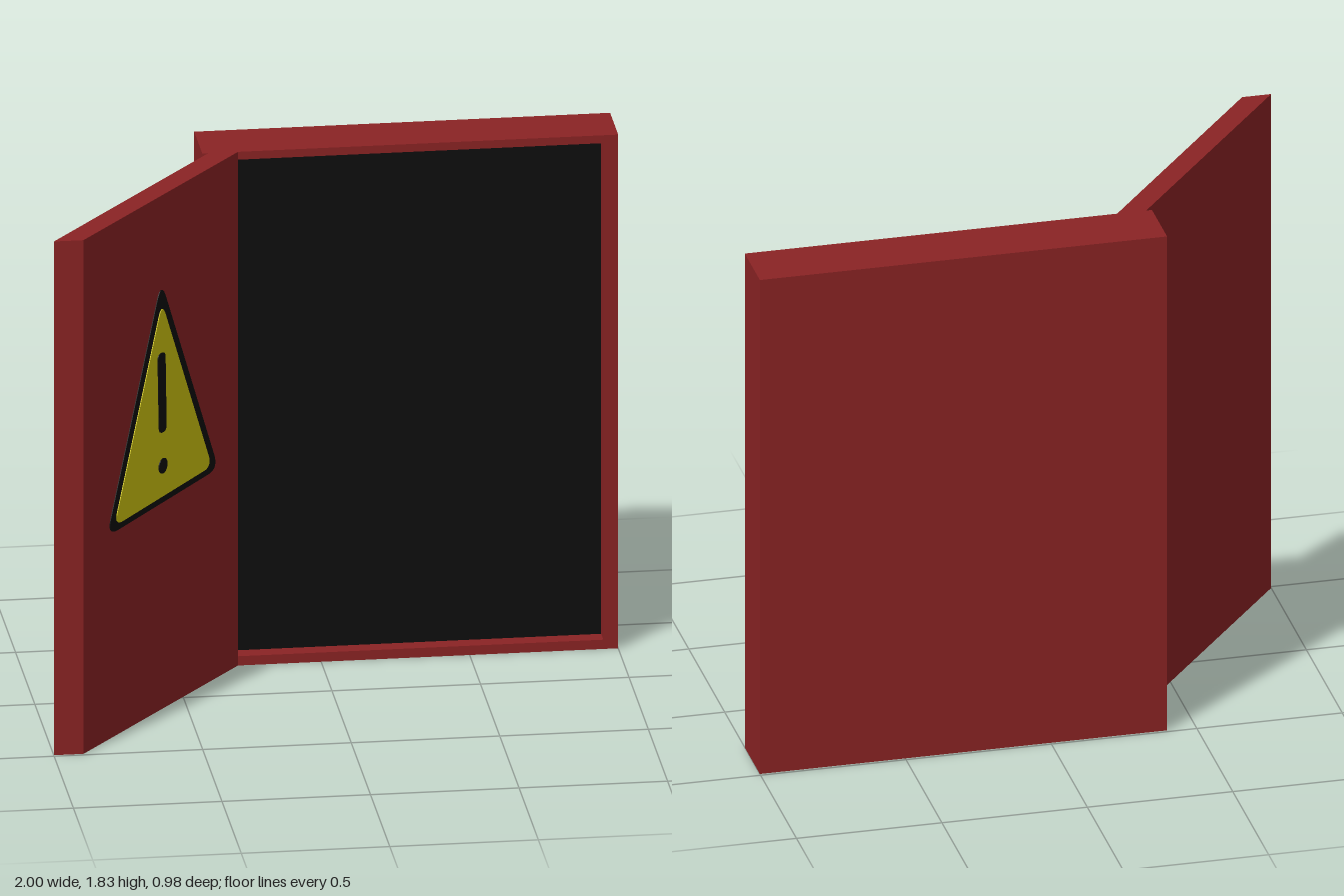
import * as THREE from 'three';

const H = 1.83;

function material(name, color) {
  const m = new THREE.MeshStandardMaterial({ color });
  m.name = name;
  return m;
}

function polygon(points) {
  return new THREE.Shape(points.map(([x, y]) => new THREE.Vector2(x, y)));
}

// Polygon whose corners are softened over the given length
function roundedPolygon(points, cut) {
  const p = points.map(([x, y]) => new THREE.Vector2(x, y));
  const toward = (a, b) => a.clone().add(b.clone().sub(a).setLength(cut));
  const s = new THREE.Shape();
  p.forEach((c, i) => {
    const a = toward(c, p[(i + p.length - 1) % p.length]);
    const b = toward(c, p[(i + 1) % p.length]);
    if (i === 0) s.moveTo(a.x, a.y);
    else s.lineTo(a.x, a.y);
    s.quadraticCurveTo(c.x, c.y, b.x, b.y);
  });
  s.closePath();
  return s;
}

function extrude(shape, depth) {
  return new THREE.ExtrudeGeometry(shape, { depth, bevelEnabled: false, curveSegments: 10 });
}

export function createModel() {
  const red = material('dark red', 0x8b2324);
  const black = material('black', 0x0d0d0d);
  const yellow = material('warning yellow', 0xd2c80f);

  const model = new THREE.Group();
  model.name = 'openCabinet';
  const add = (parent, name, geometry, mat, x = 0, y = 0, z = 0) => {
    const mesh = new THREE.Mesh(geometry, mat);
    mesh.name = name;
    mesh.position.set(x, y, z);
    parent.add(mesh);
    return mesh;
  };

  // Cabinet: solid back, raised rim and dark recessed panel
  add(model, 'cabinetBack', new THREE.BoxGeometry(1.4, H, 0.15), red, 0.3, H / 2, -0.415);
  const rim = polygon([[-0.4, 0], [1, 0], [1, H], [-0.4, H]]);
  rim.holes.push(polygon([[-0.35, 0.033], [-0.35, 1.802], [0.95, 1.802], [0.95, 0.033]]));
  add(model, 'cabinetRim', extrude(rim, 0.06), red, 0, 0, -0.34);
  add(model, 'innerPanel', new THREE.BoxGeometry(1.3, 1.769, 0.004), black, 0.3, 0.9175, -0.339);

  // Open door, a slanted slab meeting the rim
  const plan = polygon([[-1, -0.49], [-0.9, -0.49], [-0.28, 0.28], [-0.38, 0.28]]);
  add(model, 'door', extrude(plan, H).rotateX(-Math.PI / 2), red);

  // Warning sign on the inner face of the door
  const sign = new THREE.Group();
  sign.name = 'warningSign';
  sign.position.set(-0.505, 0, 0);
  sign.rotation.y = Math.atan2(0.77, 0.62);
  model.add(sign);

  // Depth along z is stretched to distance along the slanted door
  const onDoor = (points) => points.map(([z, y]) => [-z * 1.284, y]);
  const border = onDoor([[0.375, 0.728], [-0.178, 0.745], [0.105, 1.525]]);
  const field = onDoor([[0.342, 0.752], [-0.142, 0.768], [0.105, 1.45]]);
  const bar = onDoor([[0.123, 0.99], [0.087, 0.99], [0.093, 1.275], [0.13, 1.275]]);
  add(sign, 'signBorder', extrude(roundedPolygon(border, 0.065), 0.003), black);
  add(sign, 'signField', extrude(roundedPolygon(field, 0.05), 0.006), yellow);
  add(sign, 'signBar', extrude(roundedPolygon(bar, 0.022), 0.009), black);
  const dot = new THREE.Shape().absarc(-0.133, 0.87, 0.027, 0, Math.PI * 2);
  add(sign, 'signDot', extrude(dot, 0.009), black);

  return model;
}
